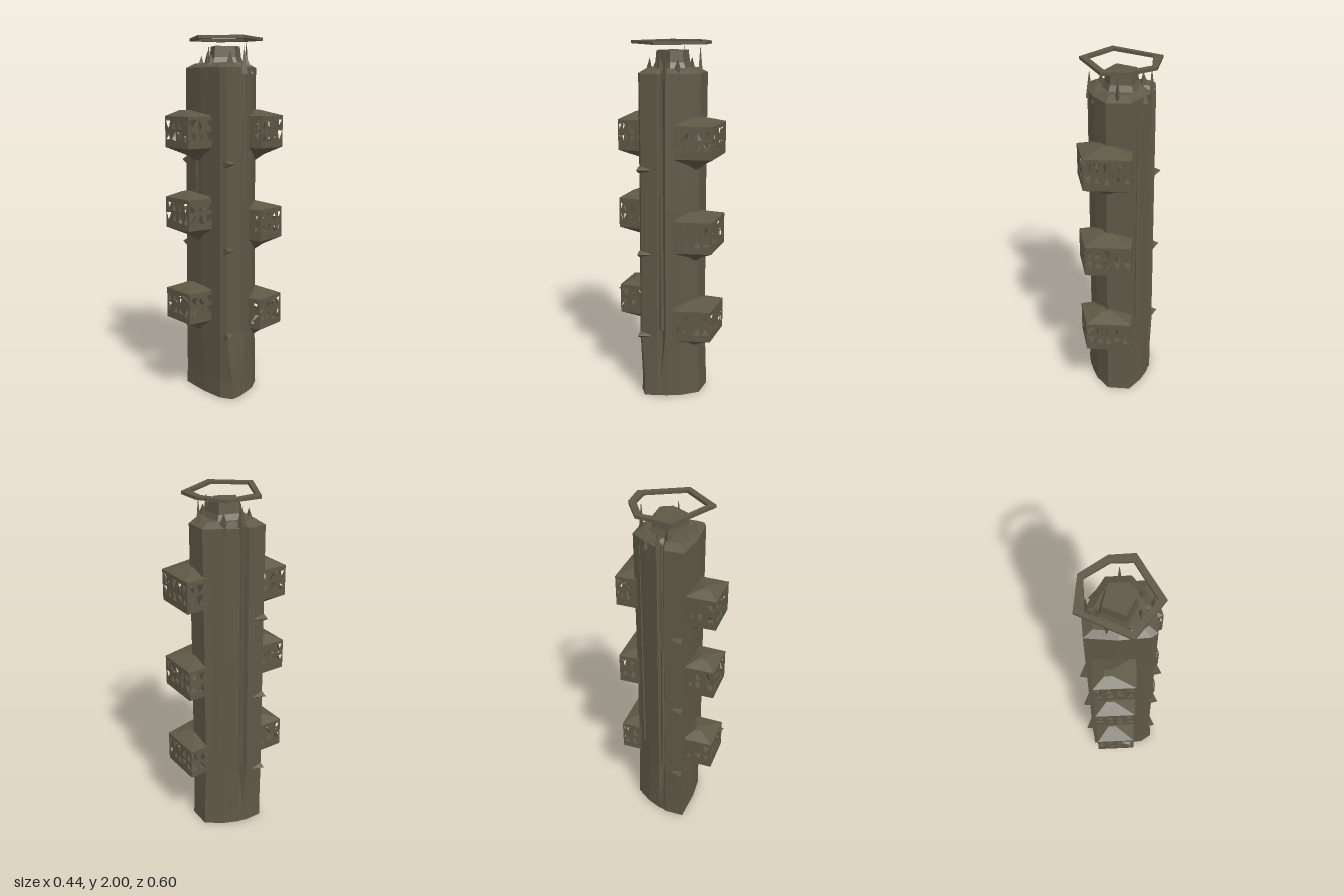
import * as THREE from 'three';

const stone = new THREE.MeshStandardMaterial({ color: 0x5e5846, flatShading: true, side: THREE.DoubleSide });
stone.name = 'weathered stone';

function add(parent, geometry, name) {
  const mesh = new THREE.Mesh(geometry, stone);
  mesh.name = name;
  parent.add(mesh);
  return mesh;
}

// Skin a stack of rings (each a list of [x, y, z]) and cap both ends.
function loft(rings) {
  const pos = [];
  const n = rings[0].length;
  for (let r = 0; r < rings.length - 1; r++) {
    for (let i = 0; i < n; i++) {
      const j = (i + 1) % n;
      const a = rings[r][i], b = rings[r][j], c = rings[r + 1][j], d = rings[r + 1][i];
      pos.push(...a, ...b, ...c, ...a, ...c, ...d);
    }
  }
  [[rings[0], true], [rings[rings.length - 1], false]].forEach(([ring, flip]) => {
    const flat = ring.map(p => new THREE.Vector2(p[0], -p[2]));
    THREE.ShapeUtils.triangulateShape(flat, []).forEach(t => {
      const f = flip ? [t[2], t[1], t[0]] : t;
      f.forEach(k => pos.push(...ring[k]));
    });
  });
  const g = new THREE.BufferGeometry();
  g.setAttribute('position', new THREE.Float32BufferAttribute(pos, 3));
  g.computeVertexNormals();
  return g;
}

const ringAt = (pts, y, s = 1) => pts.map(([x, z]) => [x * s, y, z * s]);

function seeded(seed) {
  let s = seed * 7919 + 17;
  return () => (s = (s * 16807) % 2147483647) / 2147483647;
}

// Flat wall between two plan points, pierced by irregular triangular openings.
function latticeWall(a, b, height, rand) {
  const len = Math.hypot(b[0] - a[0], b[1] - a[1]);
  const shape = new THREE.Shape([[0, 0], [len, 0], [len, height], [0, height]].map(p => new THREE.Vector2(...p)));
  const cols = Math.max(2, Math.round(len / 0.05)), w = len / cols;
  const sill = height * 0.18, h = (height - sill - 0.015) / 2;
  for (let c = 0; c < cols; c++) {
    for (let r = 0; r < 2; r++) {
      const up = rand() > 0.5 ? 1 : -1;
      const cx = (c + 0.5) * w, cy = sill + (r + 0.5) * h;
      const hw = w * (0.28 + 0.18 * rand()), hh = h * (0.28 + 0.18 * rand()) * up;
      const lean = (rand() - 0.5) * hw * 1.8;
      shape.holes.push(new THREE.Path([
        new THREE.Vector2(cx - hw, cy - hh), new THREE.Vector2(cx + lean, cy + hh), new THREE.Vector2(cx + hw, cy - hh),
      ]));
    }
  }
  return new THREE.ShapeGeometry(shape);
}

// Caged balcony: tapered corbel, floor, pierced walls, shards inside, crooked roof.
// The last side of the plan faces the tower and stays open.
function balcony(name, plan, root, y, height, seed) {
  const g = new THREE.Group();
  g.name = name;
  const rand = seeded(seed);
  const n = plan.length;
  const cx = plan.reduce((s, p) => s + p[0], 0) / n, cz = plan.reduce((s, p) => s + p[1], 0) / n;
  const toward = (p, c, t) => [p[0] + (c[0] - p[0]) * t, p[1] + (c[1] - p[1]) * t];
  const corbel = t => plan.map(p => toward(p, root, t));
  add(g, loft([ringAt(corbel(0.92), y - 0.075), ringAt(corbel(0.65), y - 0.045), ringAt(plan, y), ringAt(plan, y + 0.018)]), 'corbelFloor');
  const peak = [cx + (rand() - 0.5) * 0.08, cz * (0.85 + 0.25 * rand())];
  const roofTop = plan.map(p => toward(p, peak, 0.8));
  add(g, loft([ringAt(plan, y + height - 0.015), ringAt(plan, y + height), ringAt(roofTop, y + height + 0.032)]), 'roof');
  for (let i = 0; i < n - 1; i++) {
    const a = plan[i], b = plan[i + 1];
    const wall = add(g, latticeWall(a, b, height, rand), 'latticeWall');
    wall.position.set(a[0], y, a[1]);
    wall.rotation.y = -Math.atan2(b[1] - a[1], b[0] - a[0]);
  }
  for (let i = 0; i < 9; i++) {
    const p = toward(plan[i % n], plan[(i + 1) % n], rand());
    const [x, z] = toward(p, [cx, cz], 0.2 + 0.4 * rand());
    const shard = add(g, new THREE.ConeGeometry(0.022, 0.1, 3), 'shard');
    shard.position.set(x, y + height * (0.35 + 0.3 * rand()), z);
    shard.rotation.set((rand() - 0.5) * 1.2, rand() * 6, i % 2 ? Math.PI : 0);
  }
  return g;
}

export function createModel() {
  const model = new THREE.Group();
  model.name = 'tower';

  // Main shaft: flat front slab, side grooves, rounded back
  const foot = [[-0.185, 0.128], [0, 0.14], [0.13, 0.13], [0.195, 0.09], [0.182, 0.02], [0.172, 0], [0.165, -0.03],
    [0.13, -0.11], [0.06, -0.195], [-0.07, -0.2], [-0.135, -0.11], [-0.17, -0.03], [-0.175, 0], [-0.185, 0.02]];
  const mid = [[-0.187, 0.125], [-0.02, 0.143], [0.14, 0.135], [0.172, 0.115], [0.172, 0.02], [0.14, 0], [0.163, -0.025],
    [0.13, -0.1], [0.06, -0.187], [-0.07, -0.187], [-0.13, -0.1], [-0.173, -0.025], [-0.145, 0], [-0.192, 0.02]];
  const top = mid.map(([x, z]) => [x * 0.97, z]);
  add(model, loft([ringAt(foot, 0), ringAt(foot, 0.1, 0.985), ringAt(mid, 0.36), ringAt(mid, 1.1, 0.985),
    ringAt(top, 1.835), ringAt(top, 1.86, 0.75)]), 'shaft');

  // Five-sided core rising out of the top
  const core = [[-0.09, 0.02], [0.02, 0.075], [0.07, -0.02], [0.04, -0.08], [-0.06, -0.08]];
  add(model, loft([ringAt(core, 1.84, 1.35), ringAt(core, 1.89, 1.08), ringAt(core, 1.95)]), 'core');

  // Spikes and broken teeth round the rim: x, z, tip height, radius
  [[-0.163, -0.02, 1.97, 0.02], [0.152, -0.02, 1.945, 0.022], [0, -0.165, 1.98, 0.018], [-0.11, -0.085, 1.91, 0.045],
    [0.1, -0.075, 1.91, 0.045], [-0.07, 0.1, 1.9, 0.035], [0.03, 0.11, 1.91, 0.035], [0.095, 0.03, 1.92, 0.045],
    [-0.12, 0.02, 1.93, 0.045]].forEach(([x, z, tip, r], i) => {
    const h = tip - 1.8;
    const spike = add(model, new THREE.ConeGeometry(r, h, 3), 'rimSpike');
    spike.position.set(x, 1.8 + h / 2, z);
    spike.rotation.y = Math.atan2(x, z) + (i % 2) * 0.4;
  });

  // Floating six-sided crown ring
  const outer = [[-0.218, 0.07], [0.05, 0.21], [0.205, 0.025], [0.08, -0.215], [-0.05, -0.212], [-0.192, -0.122]];
  const inner = [[-0.167, 0.068], [0.04, 0.17], [0.165, 0.022], [0.066, -0.172], [-0.04, -0.175], [-0.165, -0.1]];
  const vec = p => new THREE.Vector2(p[0], -p[1]);
  const ringShape = new THREE.Shape(outer.map(vec));
  ringShape.holes.push(new THREE.Path(inner.map(vec)));
  const crown = add(model, new THREE.ExtrudeGeometry(ringShape, { depth: 0.016, bevelEnabled: false }), 'crownRing');
  crown.rotation.x = -Math.PI / 2;
  crown.position.y = 1.984;

  // Front and back balconies, three tiers each
  const frontPlan = [[-0.152, 0.12], [-0.152, 0.288], [0.063, 0.288], [0.068, 0.12]];
  const backPlan = [[0.11, -0.058], [0.218, -0.09], [0.17, -0.29], [-0.08, -0.29], [-0.08, -0.13]];
  [1.405, 0.96, 0.44].forEach((y, i) => model.add(balcony('frontBalcony', frontPlan, [-0.045, 0.14], y, 0.17, i + 1)));
  [1.4, 0.885, 0.375].forEach((y, i) => model.add(balcony('backBalcony', backPlan, [0.06, -0.17], y, 0.175, i + 5)));

  // Small pointed ledges on the front corners
  for (const side of [-1, 1]) {
    for (const y of [0.365, 0.85, 1.325]) {
      const x = v => side * v - 0.008;
      const plan = [[x(0.15), 0.04], [x(0.15), 0.125], [x(0.213), 0.125], [x(0.185), 0.06]];
      if (side < 0) plan.reverse();
      const tucked = plan.map(([px, z]) => [px * 0.85, z]);
      add(model, loft([ringAt(tucked, y - 0.02), ringAt(plan, y), ringAt(tucked, y + 0.015)]), 'cornerLedge');
    }
  }

  // Thin rails between the upper front balconies
  for (const x of [-0.066, -0.052]) {
    const rail = add(model, new THREE.BoxGeometry(0.006, 0.2, 0.01), 'rail');
    rail.position.set(x, 1.25, 0.139);
  }

  // Long sharp ribs down the sides and back: x, z, bottom, top
  [[0.155, 0.0, 0.4, 1.86], [-0.163, 0.0, 0.4, 1.86], [-0.1, -0.14, 0.5, 1.8]].forEach(([x, z, lo, hi]) => {
    const rib = add(model, new THREE.CylinderGeometry(0.004, 0.014, hi - lo, 4), 'rib');
    rib.position.set(x, (lo + hi) / 2, z);
  });

  return model;
}
